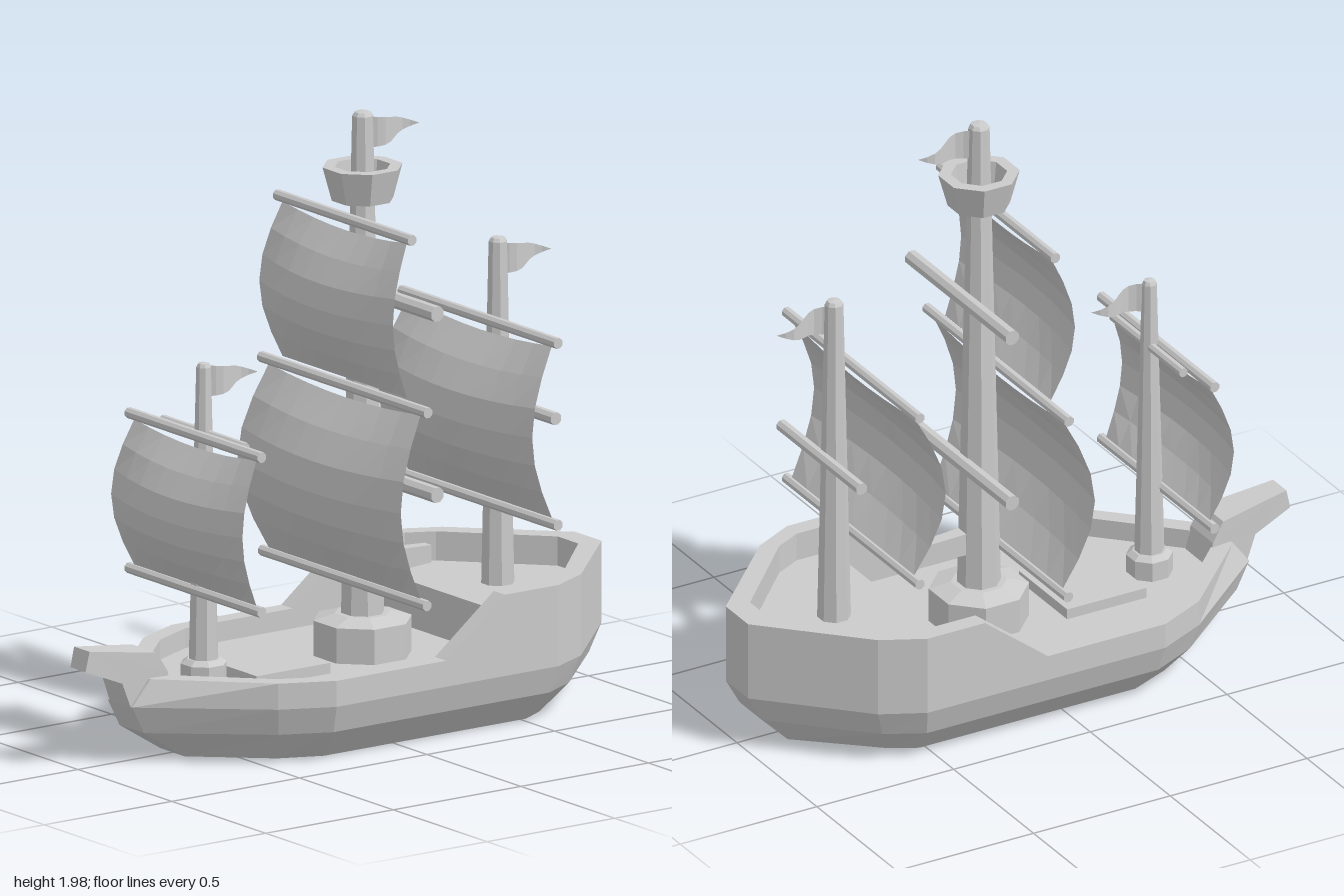
import * as THREE from 'three';

const mat = new THREE.MeshStandardMaterial({ color: 0xcccccc, flatShading: true });
const thin = new THREE.MeshStandardMaterial({ color: 0xcccccc, flatShading: true, side: THREE.DoubleSide });

function add(parent, name, geo, x = 0, y = 0, z = 0, material = mat) {
  const m = new THREE.Mesh(geo, material);
  m.name = name;
  m.position.set(x, y, z);
  parent.add(m);
  return m;
}

// Joins closed rings of points, bottom to top, into a faceted skin
function loft(rings) {
  const n = rings[0].length, idx = [];
  for (let k = 0; k < rings.length - 1; k++) {
    for (let i = 0; i < n; i++) {
      const a = k * n + i, b = k * n + (i + 1) % n, c = a + n, d = b + n;
      idx.push(a, c, b, b, c, d);
    }
  }
  let geo = new THREE.BufferGeometry();
  geo.setAttribute('position', new THREE.Float32BufferAttribute(rings.flat(2), 3));
  geo.setIndex(idx);
  geo = geo.toNonIndexed();
  geo.computeVertexNormals();
  return geo;
}

// Mirrors half an outline, given from stern to bow as [x, z], into a ring
function ring(half, y) {
  const h = typeof y === 'function' ? y : () => y;
  const right = half.map(([x, z]) => [x, h(z), z]);
  return [...right, ...right.map(([x, yy, z]) => [-x, yy, z]).reverse()];
}
const point = (half, y, z = 0) => ring(half.map(() => [0, z]), y);

// Height of the rail: low waist, slope, raised stern
const sheer = z => 0.275 + 0.18 * THREE.MathUtils.clamp((-0.12 - z) / 0.23, 0, 1);

function addHull(ship) {
  const keel = [[0.06, -0.85], [0.27, -0.61], [0.32, -0.52], [0.32, -0.35], [0.32, -0.12], [0.32, 0.27], [0.26, 0.41], [0.065, 0.63]];
  const bilge = [[0.07, -0.95], [0.345, -0.67], [0.41, -0.545], [0.41, -0.35], [0.41, -0.12], [0.41, 0.3], [0.335, 0.46], [0.065, 0.79]];
  const side = [[0.07, -1], [0.37, -0.7], [0.44, -0.56], [0.44, -0.35], [0.44, -0.12], [0.44, 0.31], [0.36, 0.48], [0.065, 0.835]];
  const rail = [...side.slice(0, 7), [0.075, 0.77]];
  const inner = [[0.055, -0.92], [0.335, -0.65], [0.38, -0.56], [0.38, -0.35], [0.38, -0.12], [0.38, 0.3], [0.31, 0.45], [0.05, 0.71]];
  add(ship, 'hull', loft([
    point(keel, 0), ring(keel, 0), ring(bilge, 0.1), ring(side, 0.19),
    ring(rail, sheer), ring(inner, sheer), ring(inner, 0.21), point(inner, 0.21),
  ]));

  // Raised deck at the stern
  const aft = [...inner.slice(0, 3), [0.38, -0.43]];
  add(ship, 'quarterDeck', loft([ring(aft, 0.21), ring(aft, 0.36), point(aft, 0.36, -0.6)]));
  add(ship, 'quarterDeckBulkhead', new THREE.BoxGeometry(0.76, 0.15, 0.01), 0, 0.285, -0.434);
  add(ship, 'hatch', new THREE.BoxGeometry(0.3, 0.04, 0.29), 0, 0.225, 0.265);
}

function addBowsprit(ship) {
  const profile = [[0.68, 0.2], [0.7, 0.29], [0.74, 0.355], [0.985, 0.39], [1, 0.325], [0.865, 0.27], [0.835, 0.19]];
  const shape = new THREE.Shape(profile.map(p => new THREE.Vector2(...p)));
  const geo = new THREE.ExtrudeGeometry(shape, { depth: 2, bevelEnabled: false });
  geo.translate(0, 0, -1).rotateY(-Math.PI / 2);
  const p = geo.attributes.position;
  // Narrow towards the tip
  for (let i = 0; i < p.count; i++) {
    const z = p.getZ(i);
    const w = z < 0.84 ? THREE.MathUtils.mapLinear(z, 0.68, 0.84, 0.072, 0.055) : THREE.MathUtils.mapLinear(z, 0.84, 1, 0.055, 0.04);
    p.setX(i, p.getX(i) * w);
  }
  geo.computeVertexNormals();
  add(ship, 'bowsprit', geo);
}

const lathe = (pts, sides = 8) => new THREE.LatheGeometry(pts.map(p => new THREE.Vector2(...p)), sides).rotateY(Math.PI / 8);

function addMast(ship, name, z, y0, y1, r0, r1) {
  const geo = lathe([[r0, y0], [r1, y1 - 0.012], [r1 * 0.75, y1], [0, y1 + 0.003]]);
  add(ship, name, geo, 0, 0, z);
}

function addYard(ship, name, half, y, z, r = 0.018) {
  const geo = new THREE.CylinderGeometry(r, r, half * 2, 8).rotateY(Math.PI / 8).rotateZ(Math.PI / 2);
  add(ship, name, geo, 0, y, z);
}

// Billowing sail: bulges forward at mid height, most at the centre
function addSail(ship, name, y0, y1, z, half, depth) {
  const geo = new THREE.PlaneGeometry(2, 1, 8, 6);
  const p = geo.attributes.position;
  for (let i = 0; i < p.count; i++) {
    const u = p.getX(i), v = p.getY(i) + 0.5;
    const belly = Math.sin(Math.PI * v), mid = 1 - u * u;
    const w = half * (0.93 + 0.07 * belly);
    const y = y0 + (y1 - y0) * v - 0.025 * mid * v;
    p.setXYZ(i, u * w, y, z + belly * (depth - 0.042 * (1 - mid)));
  }
  geo.computeVertexNormals();
  add(ship, name, geo, 0, 0, 0, thin);
}

// Tapering pennant that waves sideways as it trails aft
function addFlag(ship, y, z) {
  const len = 0.2;
  const geo = new THREE.PlaneGeometry(1, 1, 8, 1);
  const p = geo.attributes.position;
  for (let i = 0; i < p.count; i++) {
    const u = p.getX(i) + 0.5, s = p.getY(i);
    const h = 0.1 * (1 - Math.pow(u, 1.7));
    p.setXYZ(i, 0.022 * Math.sin(u * Math.PI * 2), y + s * h, z - len * u);
  }
  geo.computeVertexNormals();
  add(ship, 'flag', geo, 0, 0, 0, thin);
}

export function createModel() {
  const ship = new THREE.Group();
  ship.name = 'sailingShip';
  addHull(ship);
  addBowsprit(ship);

  // Masts and their steps
  addMast(ship, 'foreMast', 0.508, 0.21, 1.25, 0.05, 0.024);
  addMast(ship, 'mainMast', -0.115, 0.21, 1.975, 0.073, 0.034);
  addMast(ship, 'mizzenMast', -0.645, 0.36, 1.485, 0.054, 0.03);
  add(ship, 'foreMastStep', lathe([[0.075, 0.21], [0.075, 0.275], [0.055, 0.29], [0, 0.29]]), 0, 0, 0.508);
  add(ship, 'mainMastStep', lathe([[0.16, 0.21], [0.16, 0.325], [0.09, 0.345], [0, 0.345]]), 0, 0, -0.115);

  // Lookout basket, hollow from above
  add(ship, 'crowsNest', lathe([[0, 1.69], [0.1, 1.69], [0.13, 1.8], [0.09, 1.8], [0.08, 1.72], [0, 1.72]]), 0, 0, -0.115);

  // Boom behind the main mast
  const boom = new THREE.CylinderGeometry(0.04, 0.055, 0.22, 4).rotateY(Math.PI / 4).rotateX(-Math.PI / 2).scale(0.65, 1, 1);
  add(ship, 'boom', boom, 0, 0.498, -0.262);

  // Yards that carry the sails: half length, height, z
  for (const [half, y, z] of [
    [0.36, 1.64, -0.045], [0.445, 1.095, -0.045], [0.44, 0.465, -0.045],
    [0.355, 1.02, 0.54], [0.355, 0.515, 0.54],
    [0.418, 1.235, -0.575], [0.418, 0.642, -0.575],
  ]) addYard(ship, 'yard', half, y, z);

  // Shorter spars fixed to the masts
  addYard(ship, 'spar', 0.315, 1.37, -0.177, 0.026);
  addYard(ship, 'spar', 0.315, 0.78, -0.177, 0.026);
  addYard(ship, 'spar', 0.25, 0.937, -0.69, 0.021);
  addYard(ship, 'spar', 0.22, 1.02, 0.505, 0.016);

  addSail(ship, 'mainTopSail', 1.12, 1.625, -0.045, 0.356, 0.115);
  addSail(ship, 'mainLowerSail', 0.48, 1.08, -0.045, 0.435, 0.142);
  addSail(ship, 'foreSail', 0.53, 1.005, 0.54, 0.35, 0.115);
  addSail(ship, 'mizzenSail', 0.66, 1.22, -0.575, 0.412, 0.14);

  addFlag(ship, 1.19, 0.495);
  addFlag(ship, 1.905, -0.138);
  addFlag(ship, 1.415, -0.655);
  return ship;
}
